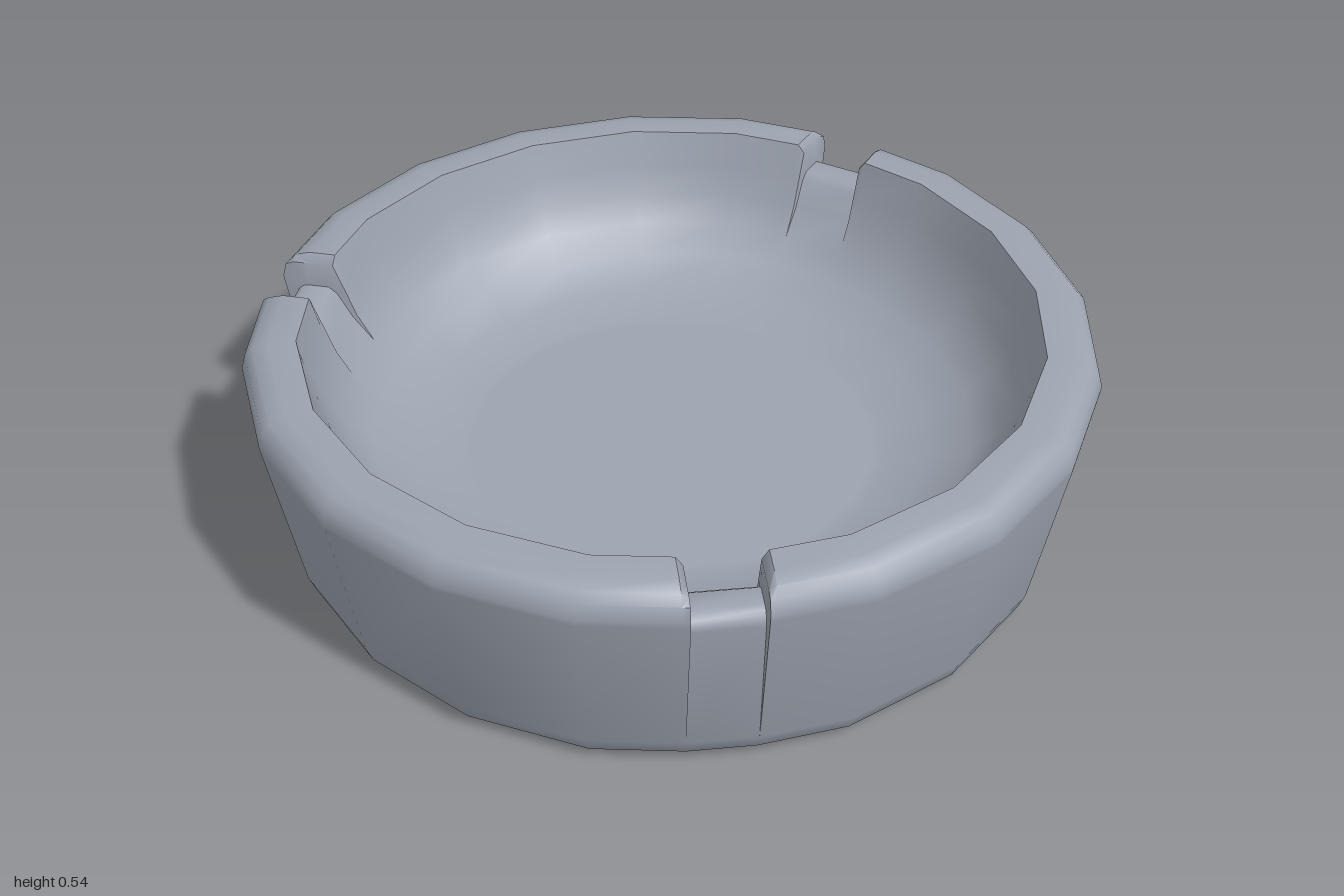
import * as THREE from 'three';
import { toCreasedNormals } from 'three/addons/utils/BufferGeometryUtils.js';

const SIDES = 20;
const STEP = (Math.PI * 2) / SIDES;
const NOTCHED = [1, 7, 13]; // polygon corners that carry a notch

// Cross-section [radius, y]: underside centre, outer wall, rim, inner wall, floor centre
const PROFILE = [
  [0, 0], [0.85, 0], [0.865, 0], [0.895, 0.01], [0.915, 0.03], [0.93, 0.07],
  [0.998, 0.46], [1, 0.475], [0.99, 0.51], [0.97, 0.53], [0.935, 0.54],
  [0.87, 0.54], [0.845, 0.45], [0.82, 0.38], [0.78, 0.31], [0.72, 0.25],
  [0.62, 0.21], [0.51, 0.18], [0.49, 0.18], [0, 0.18],
];

// Cross-section inside a notch: lowered rim and recessed walls
const NOTCH = PROFILE.map((p) => [...p]);
[[0.966, 0.42], [0.966, 0.43], [0.96, 0.445], [0.95, 0.453], [0.935, 0.456],
  [0.885, 0.456], [0.865, 0.44], [0.83, 0.375]].forEach((p, i) => { NOTCH[6 + i] = p; });

// Rounded shoulder beside a notch
const SHOULDER = PROFILE.map(([r, y]) => [r, Math.min(y, 0.518)]);

// One column of points at sideways distance t from a polygon corner
function column(corner, t, profile) {
  const a = corner * STEP;
  return profile.map(([r, y]) => {
    const s = t * Math.min(1, r / 0.49);
    const d = r - Math.abs(s) * Math.tan(STEP / 2);
    return new THREE.Vector3(
      d * Math.cos(a) - s * Math.sin(a), y, -d * Math.sin(a) - s * Math.cos(a));
  });
}

// Skin neighbouring columns, leaving out collapsed triangles
function skin(columns) {
  const pos = [];
  const tri = (a, b, c) => {
    const area = b.clone().sub(a).cross(c.clone().sub(a)).length();
    if (area > 1e-7) for (const v of [a, b, c]) pos.push(v.x, v.y, v.z);
  };
  columns.forEach((c, i) => {
    const n = columns[(i + 1) % columns.length];
    for (let j = 0; j < c.length - 1; j++) {
      tri(c[j], n[j], n[j + 1]);
      tri(c[j], n[j + 1], c[j + 1]);
    }
  });
  const geo = new THREE.BufferGeometry();
  geo.setAttribute('position', new THREE.Float32BufferAttribute(pos, 3));
  return toCreasedNormals(geo, THREE.MathUtils.degToRad(48));
}

export function createModel() {
  const grey = new THREE.MeshStandardMaterial({ color: 0x9ca3af });
  grey.name = 'blue grey';

  const columns = [];
  for (let i = 0; i < SIDES; i++) {
    if (NOTCHED.includes(i)) {
      columns.push(
        column(i, -0.096, PROFILE), column(i, -0.08, SHOULDER), column(i, -0.078, NOTCH),
        column(i, 0.078, NOTCH), column(i, 0.08, SHOULDER), column(i, 0.096, PROFILE));
    } else {
      columns.push(column(i, 0, PROFILE));
    }
  }

  const dish = new THREE.Mesh(skin(columns), grey);
  dish.name = 'notchedDish';

  const group = new THREE.Group();
  group.name = 'roundTray';
  group.add(dish);
  return group;
}
